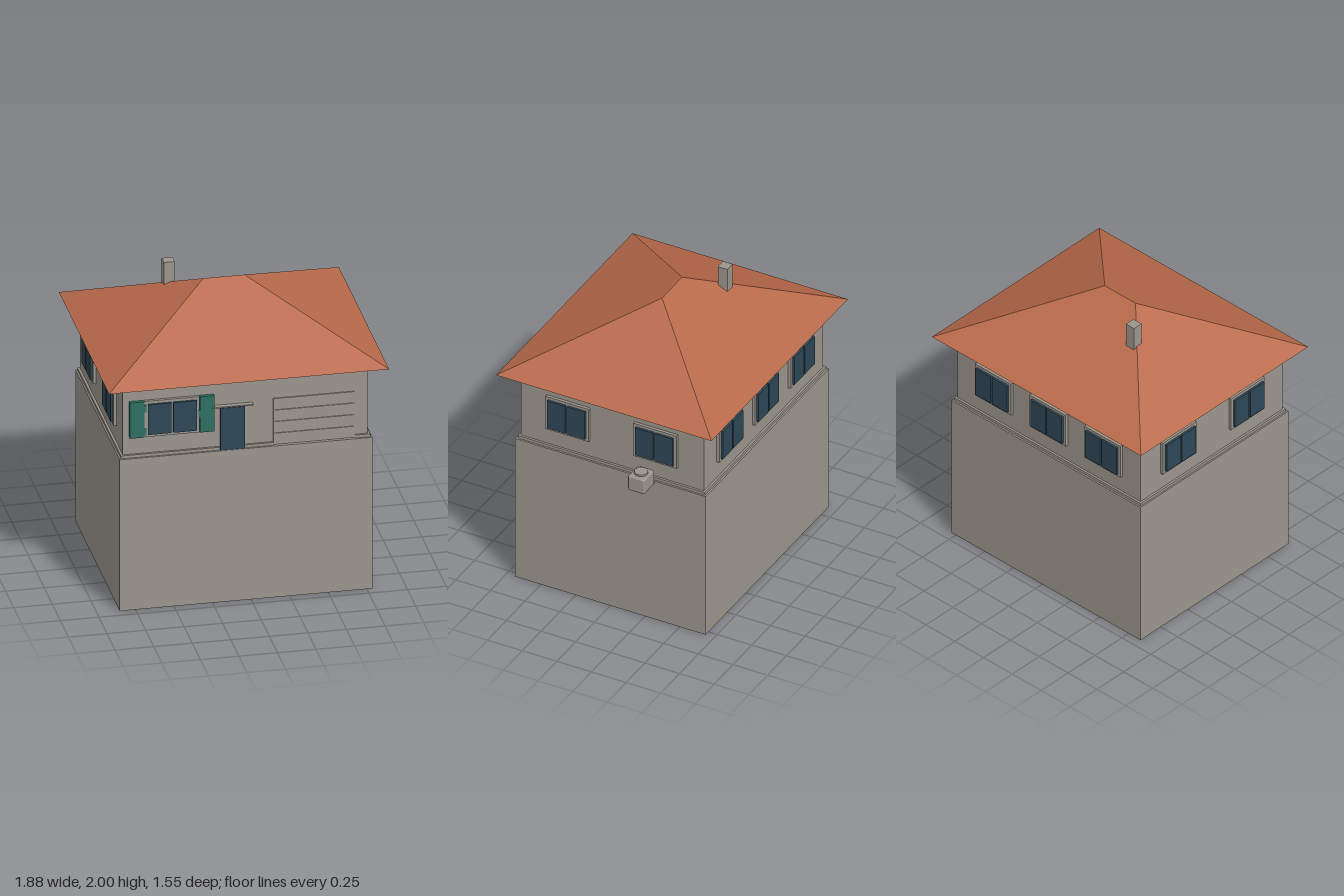
import * as THREE from 'three';
import { RoundedBoxGeometry } from 'three/addons/geometries/RoundedBoxGeometry.js';

const material = (name, color) => {
  const m = new THREE.MeshStandardMaterial({ color });
  m.name = name;
  return m;
};

export function createModel() {
  const stone = material('warm grey', 0x9c968d);
  const tile = material('terracotta', 0xb8694a);
  const glass = material('dark blue', 0x2e4757);
  const green = material('teal', 0x2c7062);

  const model = new THREE.Group();
  model.name = 'house';

  const add = (parent, name, geometry, mat) => {
    const mesh = new THREE.Mesh(geometry, mat);
    mesh.name = name;
    parent.add(mesh);
    return mesh;
  };
  // Box given by its low and high limits on each axis
  const box = (parent, name, mat, [x0, x1], [y0, y1], [z0, z1]) => {
    const mesh = add(parent, name, new THREE.BoxGeometry(x1 - x0, y1 - y0, z1 - z0), mat);
    mesh.position.set((x0 + x1) / 2, (y0 + y1) / 2, (z0 + z1) / 2);
    return mesh;
  };

  // Body
  box(model, 'base', stone, [-0.852, 0.787], [0, 1.06], [-0.687, 0.687]);
  box(model, 'walls', stone, [-0.827, 0.76], [1.06, 1.575], [-0.66, 0.66]);

  // Ledge round the foot of the walls, left open at the door and garage
  const ledge = [1.06, 1.08];
  box(model, 'ledgeBack', stone, [-0.842, 0.775], ledge, [-0.675, -0.66]);
  box(model, 'ledgeLeft', stone, [0.76, 0.775], ledge, [-0.66, 0.66]);
  box(model, 'ledgeRight', stone, [-0.842, -0.827], ledge, [-0.66, 0.66]);
  for (const span of [[-0.842, -0.2], [-0.04, 0.147], [0.675, 0.775]]) {
    box(model, 'ledgeFront', stone, span, ledge, [0.66, 0.675]);
  }

  // Hipped roof: four slopes and a flat underside
  const a = [-0.94, 1.57, 0.777], b = [0.875, 1.57, 0.777];
  const c = [0.875, 1.57, -0.777], d = [-0.94, 1.57, -0.777];
  const r0 = [-0.167, 1.95, 0], r1 = [0.1, 1.95, 0];
  const faces = [[a, b, r1], [a, r1, r0], [b, c, r1], [c, d, r0], [c, r0, r1], [d, a, r0], [a, d, c], [a, c, b]];
  const roof = new THREE.BufferGeometry();
  roof.setAttribute('position', new THREE.Float32BufferAttribute(faces.flat(2), 3));
  roof.computeVertexNormals();
  add(model, 'roof', roof, tile);
  box(model, 'chimney', stone, [-0.385, -0.315], [1.7, 2], [-0.247, -0.177]);

  // Framed window with two panes, facing +z before it is turned
  const addWindow = (name, x, z, turn, paneWidth = 0.13) => {
    const g = new THREE.Group();
    g.name = name;
    const w = paneWidth + 0.006, f = w + 0.02;
    for (const s of [-1, 1]) {
      const side = [s * w, s * f].sort((p, q) => p - q);
      box(g, 'frameSide', stone, side, [1.2, 1.45], [0, 0.02]);
      const pane = [s * 0.006, s * w].sort((p, q) => p - q);
      box(g, 'pane', glass, pane, [1.22, 1.43], [0, 0.035]);
    }
    box(g, 'frameTop', stone, [-w, w], [1.43, 1.45], [0, 0.02]);
    box(g, 'frameBottom', stone, [-w, w], [1.2, 1.22], [0, 0.02]);
    box(g, 'mullion', stone, [-0.006, 0.006], [1.22, 1.43], [0, 0.02]);
    g.position.set(x, 0, z);
    g.rotation.y = turn;
    model.add(g);
  };
  for (const z of [-0.317, 0.317]) {
    addWindow('leftWindow', 0.76, z, Math.PI / 2);
    addWindow('rightWindow', -0.827, z, -Math.PI / 2);
  }
  for (const x of [-0.515, -0.04, 0.435]) addWindow('backWindow', x, -0.66, Math.PI);
  addWindow('frontWindow', -0.511, 0.66, 0, 0.152);

  // Shutters with small hinges on the window side
  for (const [x0, x1, hinge, ys] of [
    [-0.785, -0.69, -0.685, [1.24, 1.4]],
    [-0.33, -0.237, -0.335, [1.33]],
  ]) {
    box(model, 'shutter', green, [x0, x1], [1.2, 1.45], [0.66, 0.685]);
    for (const y of ys) {
      box(model, 'hinge', green, [hinge - 0.006, hinge + 0.006], [y - 0.025, y + 0.025], [0.66, 0.685]);
    }
  }

  // Door under a thin canopy
  box(model, 'door', glass, [-0.198, -0.04], [1.06, 1.355], [0.66, 0.684]);
  box(model, 'canopy', stone, [-0.25, 0.013], [1.362, 1.37], [0.66, 0.695]);

  // Garage door of four panels
  for (let i = 0; i < 4; i++) {
    const y = 1.062 + i * 0.081;
    box(model, 'garagePanel', stone, [0.147, 0.675], [y, y + 0.078], [0.66, 0.668]);
  }

  // Outdoor cooling unit with a round fan cover
  const unit = add(model, 'coolingUnit', new RoundedBoxGeometry(0.14, 0.11, 0.12, 2, 0.012), stone);
  unit.position.set(0.865, 1.098, -0.264);
  const fan = add(model, 'fanCover', new THREE.CylinderGeometry(0.044, 0.044, 0.02, 20), stone);
  fan.position.set(0.865, 1.156, -0.264);

  return model;
}
